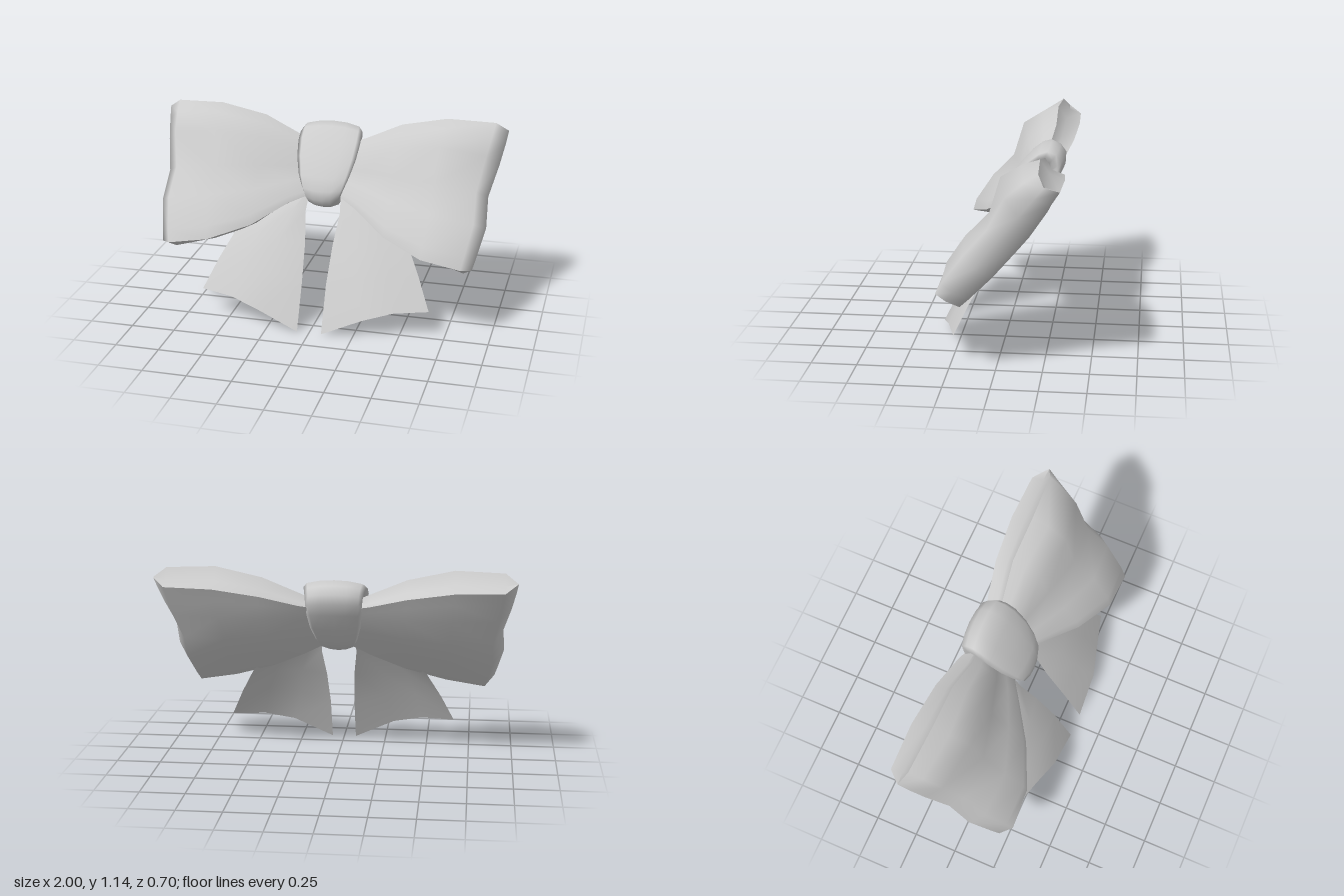
import * as THREE from 'three';
import { mergeGeometries } from 'three/addons/utils/BufferGeometryUtils.js';

// Point in the leaning frame: u runs up the ribbon, n out of its front
const lean = (x, u, n) => [x, 0.78 * u + 0.62 * n, -0.62 * u + 0.78 * n];
const mix = THREE.MathUtils.lerp;

// Smooth surface through rows of points
function grid(rows, flip = false, closed = false) {
  const cols = rows[0].length, index = [];
  const last = closed ? rows.length : rows.length - 1;
  for (let j = 0; j < last; j++) {
    for (let k = 0; k < cols - 1; k++) {
      const a = j * cols + k, b = a + 1;
      const d = ((j + 1) % rows.length) * cols + k, c = d + 1;
      if (flip) index.push(a, c, b, a, d, c);
      else index.push(a, b, c, a, c, d);
    }
  }
  const geometry = new THREE.BufferGeometry();
  geometry.setAttribute('position', new THREE.Float32BufferAttribute(rows.flat(2), 3));
  geometry.setIndex(index);
  geometry.computeVertexNormals();
  return geometry;
}

const mirror = (rows, side) => rows.map(r => r.map(([x, y, z]) => [side * x, y, z]));

// Ribbon stations around the loop: x, bottom u, top u, edge n, size of the folds
const FRONT = [
  [0.08, 0.56, 0.88, 0.42, 0.2], [0.2, 0.48, 0.91, 0.46, 0.45], [0.4, 0.32, 0.995, 0.495, 0.75],
  [0.66, 0.2, 1.035, 0.535, 1], [0.93, 0.165, 1.037, 0.52, 0.5],
];
const TIP = [1, 0.188, 1.018, 0.462, 0];
const BACK = [
  [0.93, 0.19, 1.033, 0.378, 0.6], [0.66, 0.26, 1.033, 0.368, 1], [0.4, 0.37, 0.99, 0.357, 0.7],
  [0.2, 0.49, 0.925, 0.355, 0.3], [0.08, 0.56, 0.88, 0.37, 0.1],
];
// Rows up the ribbon: height, fold at the front, fold at the back, width of the outer end
const ROWS = [
  [0, 0, 0, 0.89], [0.08, 0.027, -0.015, 0.905], [0.3, 0.042, -0.042, 0.94], [0.52, 0.024, -0.056, 0.93],
  [0.75, 0.1, -0.04, 0.97], [0.9, 0.055, -0.015, 0.99], [1, 0, 0, 1],
];

function loopGeometry(side) {
  const rows = ROWS.map(([t, front, back, end]) =>
    [...FRONT, TIP, ...BACK].map(([x, u0, u1, n, size], k) => {
      const fold = (k < FRONT.length ? front : back) * size;
      return lean(x * mix(1, end, x), mix(u0, u1, t), n + fold);
    }));
  // Dished ends closing the loop above and below
  const cap = (row, sink) => {
    const front = row.slice(0, FRONT.length + 1);
    const back = row.slice(FRONT.length).reverse();
    const middle = front.map((p, k) => {
      const s = k === FRONT.length ? 0 : sink;
      const q = back[k];
      return [(p[0] + q[0]) / 2, (p[1] + q[1]) / 2 + 0.78 * s, (p[2] + q[2]) / 2 - 0.62 * s];
    });
    return mirror([front, middle, back], side);
  };
  const flip = side < 0;
  return mergeGeometries([
    grid(mirror(rows, side), flip),
    grid(cap(rows[rows.length - 1], -0.025), flip),
    grid(cap(rows[0], 0.02), !flip),
  ]);
}

// Flattened band, wider at the top, with edges turned inwards
function knotGeometry() {
  const steps = 16, rows = [];
  const across = [[-0.8, 0.6], [-1, 0.8], [-0.88, 0.91], [-0.45, 0.98], [0, 1],
    [0.45, 0.98], [0.88, 0.91], [1, 0.8], [0.8, 0.6]];
  const soft = v => Math.sign(v) * Math.pow(Math.abs(v), 0.75);
  for (let i = 0; i < steps; i++) {
    const a = (i / steps) * Math.PI * 2;
    const su = soft(Math.sin(a)), sn = soft(Math.cos(a));
    const half = 0.155 + 0.035 * su - 0.025 * su * su + 0.015 * sn;
    rows.push(across.map(([v, s]) => lean(v * half, 0.745 + 0.26 * su * s, 0.435 + 0.11 * sn * s)));
  }
  return grid(rows, false, true);
}

// Hanging tail, from the knot down, each row from the inner to the outer edge
const TAIL = [
  [[0.09, 0.72, -0.04], [0.1, 0.72, -0.04], [0.115, 0.72, -0.05], [0.13, 0.72, -0.07]],
  [[0.1, 0.61, 0.03], [0.17, 0.62, 0.045], [0.25, 0.63, 0.03], [0.32, 0.63, -0.02]],
  [[0.08, 0.45, 0.12], [0.23, 0.46, 0.145], [0.38, 0.47, 0.12], [0.5, 0.48, 0.065]],
  [[0.07, 0.25, 0.235], [0.25, 0.3, 0.24], [0.43, 0.32, 0.205], [0.585, 0.32, 0.155]],
  [[0.07, 0, 0.348], [0.3, 0.105, 0.338], [0.47, 0.148, 0.29], [0.66, 0.155, 0.237]],
];

export function createModel() {
  const bow = new THREE.Group();
  bow.name = 'bow';
  const material = new THREE.MeshStandardMaterial({ color: 0xcccccc, side: THREE.DoubleSide });
  const add = (name, geometry) => {
    const mesh = new THREE.Mesh(geometry, material);
    mesh.name = name;
    bow.add(mesh);
  };
  for (const [name, side] of [['left', 1], ['right', -1]]) {
    add(name + 'Loop', loopGeometry(side));
    add(name + 'Tail', grid(mirror(TAIL, side), side > 0));
  }
  add('knot', knotGeometry());
  return bow;
}
